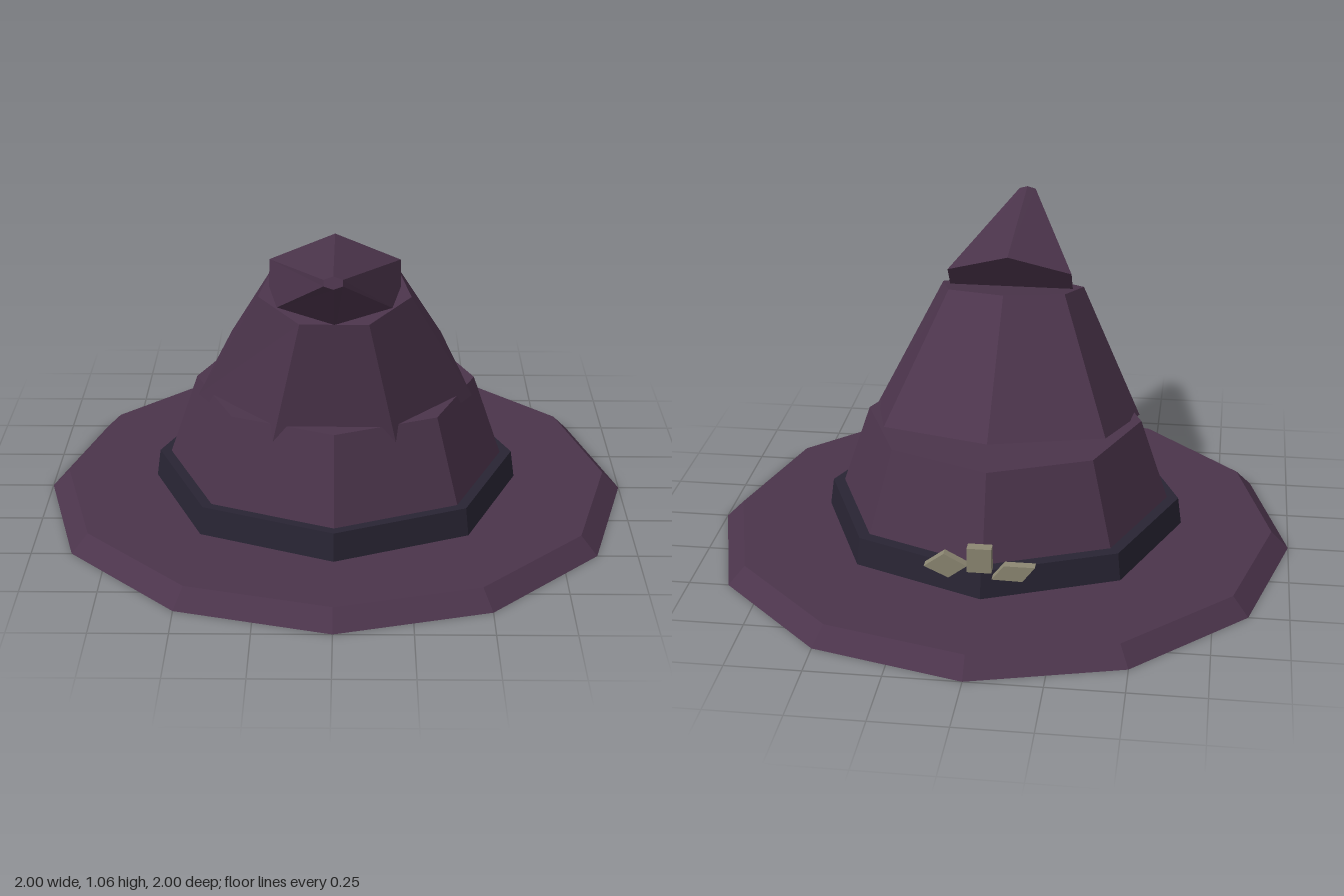
import * as THREE from 'three';

const mat = (color) => new THREE.MeshStandardMaterial({ color, flatShading: true, roughness: 0.9 });

export function createModel() {
  const hat = new THREE.Group();
  hat.name = 'pointedHat';
  const cloth = mat(0x4b344b), ribbon = mat(0x282433), metal = mat(0x8c8772);

  const add = (name, geometry, material) => {
    geometry.computeVertexNormals();
    const mesh = new THREE.Mesh(geometry, material);
    mesh.name = name;
    hat.add(mesh);
    return mesh;
  };

  // Upright faceted frustum from y0 to y1
  const frustum = (name, sides, rBottom, rTop, y0, y1, z, material) => {
    const mesh = add(name, new THREE.CylinderGeometry(rTop, rBottom, y1 - y0, sides), material);
    mesh.position.set(0, (y0 + y1) / 2, z);
  };

  // Bent section between two tilted rings; (uy, uz) runs from the ring centre to its back corner
  const bentSection = (name, sides, bottom, top) => {
    const g = new THREE.CylinderGeometry(1, 1, 1, sides).rotateY(Math.PI);
    const p = g.attributes.position;
    for (let i = 0; i < p.count; i++) {
      const ring = p.getY(i) > 0 ? top : bottom;
      const x = p.getX(i), z = p.getZ(i);
      p.setXYZ(i, x * ring.rx, ring.y - z * ring.uy, ring.z - z * ring.uz);
    }
    add(name, g, cloth);
  };

  frustum('brim', 12, 1, 0.94, 0, 0.06, 0, cloth);
  frustum('band', 8, 0.625, 0.612, 0.06, 0.155, 0.03, ribbon);
  frustum('lowerCrown', 8, 0.605, 0.475, 0.06, 0.44, 0.035, cloth);

  bentSection('middleCrown', 7,
    { y: 0.438, z: 0.038, rx: 0.475, uy: 0.092, uz: -0.453 },
    { y: 0.84, z: 0.235, rx: 0.255, uy: 0.05, uz: -0.235 });
  bentSection('foldedTip', 6,
    { y: 0.845, z: 0.225, rx: 0.248, uy: 0.14, uz: -0.11 },
    { y: 1.038, z: 0.722, rx: 0.034, uy: 0.018, uz: -0.008 });

  // Small ornament behind the band: a centre plate with a slanted plate on each side
  const plates = {
    ornamentCentre: [[-0.04, 0.17], [0.04, 0.17], [0.04, 0.255], [-0.04, 0.255]],
    ornamentLeft: [[0.04, 0.19], [0.1, 0.145], [0.18, 0.182], [0.115, 0.23]],
    ornamentRight: [[-0.04, 0.147], [-0.08, 0.198], [-0.18, 0.198], [-0.14, 0.145]],
  };
  for (const [name, corners] of Object.entries(plates)) {
    const shape = new THREE.Shape(corners.map(([x, y]) => new THREE.Vector2(x, y)));
    const depth = name === 'ornamentCentre' ? 0.037 : 0.032;
    const g = new THREE.ExtrudeGeometry(shape, { depth, bevelEnabled: false });
    add(name, g, metal).position.z = -0.6 - depth / 2;
  }
  return hat;
}
